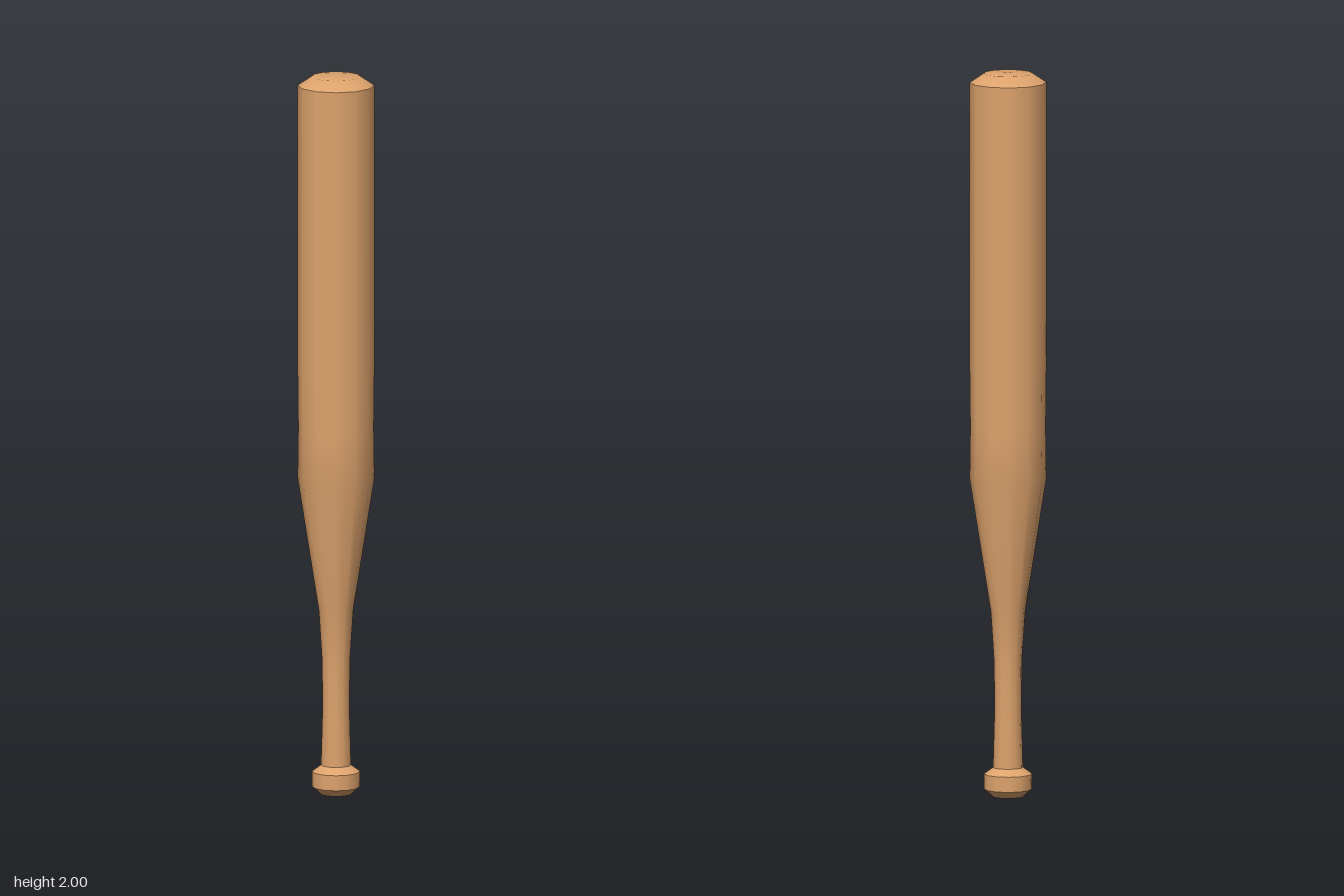
import * as THREE from 'three';

const SIDES = 12;

export function createModel() {
  const bat = new THREE.Group();
  bat.name = 'bat';
  const wood = new THREE.MeshStandardMaterial({ color: 0xdea36d });
  wood.name = 'wood';

  // Turned section; each one is smooth inside and sharp where it meets the next
  const turn = (name, profile) => {
    const points = profile.map(([r, y]) => new THREE.Vector2(r, y));
    const mesh = new THREE.Mesh(new THREE.LatheGeometry(points, SIDES), wood);
    mesh.name = name;
    bat.add(mesh);
  };

  // Knob: domed underside, straight band, bevelled shoulder
  turn('knobBottom', [[0, 0], [0.045, 0], [0.066, 0.02]]);
  turn('knobBand', [[0.066, 0.02], [0.066, 0.062]]);
  turn('knobShoulder', [[0.066, 0.062], [0.041, 0.08]]);

  // Handle flowing into the taper and the barrel
  turn('handleAndBarrel', [
    [0.041, 0.08], [0.037, 0.23], [0.038, 0.37], [0.047, 0.51],
    [0.105, 0.88], [0.103, 1.02], [0.105, 1.2], [0.105, 1.975],
  ]);

  // Rounded end of the barrel
  turn('barrelEnd', [[0.105, 1.975], [0.067, 2], [0, 2]]);

  return bat;
}
